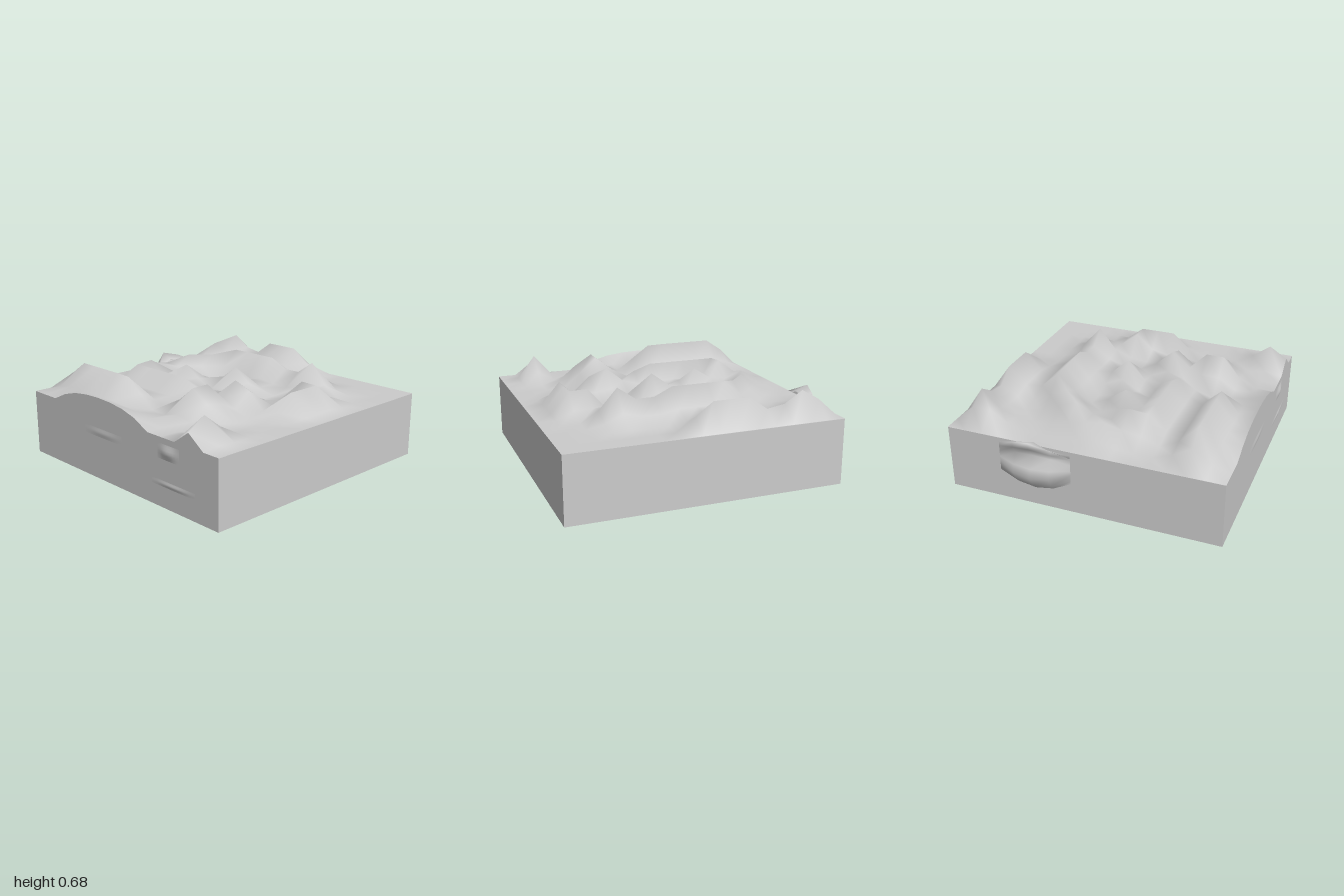
import * as THREE from 'three';

const X0 = -0.91, X1 = 1, Z0 = -0.97, Z1 = 0.945, TOP = 0.46, CELLS = 15;
const material = new THREE.MeshStandardMaterial({ color: 0xcccccc, side: THREE.DoubleSide });

// Ridges: start x, z, end x, z, crest height above the slab, sideways foot radius
const ridges = [
  [-0.66, -0.84, -0.66, -0.84, 0.19, 0.3],
  [-0.78, -0.71, -0.78, -0.71, 0.12, 0.25],
  [-0.27, -0.84, -0.02, -0.84, 0.18, 0.25],
  [-0.27, -0.46, 0.11, -0.46, 0.19, 0.22],
  [0.11, -0.46, 0.49, -0.46, 0.13, 0.2],
  [0.49, -0.46, 0.49, -0.46, 0.22, 0.2],
  [-0.27, -0.46, -0.53, -0.2, 0.15, 0.2],
  [-0.53, -0.2, -0.66, 0.05, 0.11, 0.2],
  [0.11, -0.08, 0.11, -0.08, 0.19, 0.25],
  [-0.27, 0.05, -0.27, 0.05, 0.16, 0.25],
  [0.62, -0.2, 0.74, -0.2, 0.16, 0.14],
  [0.74, -0.2, 0.74, 0.05, 0.16, 0.14],
  [-0.53, 0.18, -0.53, 0.18, 0.17, 0.22],
  [-0.53, 0.31, 0.05, 0.31, 0.16, 0.2],
  [0.36, 0.18, 0.36, 0.18, 0.19, 0.22],
  [0.36, 0.18, 0.49, 0.18, 0.14, 0.16],
  [0.36, 0.56, 0.36, 0.43, 0.21, 0.25],
  [0.36, 0.56, 0.49, 0.56, 0.13, 0.16],
  [-0.66, 0.69, -0.15, 0.69, 0.21, 0.3],
  [0.74, 0.81, 0.74, 0.81, 0.18, 0.14]
];
const FRONT_RADIUS = 0.18, BACK_RADIUS = 0.2;

// Skyline along the front edge: a long mound and a small tooth
function edgeHeight(x) {
  const mound = 0.112 * Math.sqrt(Math.max(0, 1 - ((x + 0.14) / 0.45) ** 2));
  const tooth = 0.09 * (1 - Math.abs(x - 0.745) / 0.12);
  return Math.max(0, mound, tooth);
}

// Height of the land: the tallest ridge slope at a point, level at the borders
function landHeight(x, z) {
  let best = 0;
  for (const [ax, az, bx, bz, h, r] of ridges) {
    const dx = bx - ax, dz = bz - az, len = dx * dx + dz * dz;
    const t = len ? THREE.MathUtils.clamp(((x - ax) * dx + (z - az) * dz) / len, 0, 1) : 0;
    const offX = x - ax - t * dx, offZ = z - az - t * dz;
    best = Math.max(best, h * (1 - Math.hypot(offX / r, offZ / (offZ < 0 ? BACK_RADIUS : FRONT_RADIUS))));
  }
  const fade = Math.min(1, (X1 - x) / 0.12, (x - X0) / 0.12, (z - Z0) / 0.12, (Z1 - z) / 0.12);
  return Math.max(best * fade, edgeHeight(x) * (1 - (Z1 - z) / 0.25));
}

// Grid surface from a rule giving a point for each row and column
function sheet(rows, cols, point) {
  const pos = [], index = [];
  for (let i = 0; i <= rows; i++)
    for (let j = 0; j <= cols; j++) {
      pos.push(...point(i, j));
      if (i < rows && j < cols) {
        const a = i * (cols + 1) + j, b = a + cols + 1;
        index.push(a, b, a + 1, b, b + 1, a + 1);
      }
    }
  const g = new THREE.BufferGeometry();
  g.setAttribute('position', new THREE.Float32BufferAttribute(pos, 3));
  g.setIndex(index);
  g.computeVertexNormals();
  return g;
}

export function createModel() {
  const group = new THREE.Group();
  const add = (name, geometry) => {
    const mesh = new THREE.Mesh(geometry, material);
    mesh.name = name;
    group.add(mesh);
    return mesh;
  };
  const gx = j => X0 + (X1 - X0) * j / CELLS;
  const gz = i => Z0 + (Z1 - Z0) * i / CELLS;

  // Solid slab under the land
  const slabHeight = TOP - 0.002;
  add('slab', new THREE.BoxGeometry(X1 - X0, slabHeight, Z1 - Z0))
    .position.set((X0 + X1) / 2, slabHeight / 2, (Z0 + Z1) / 2);

  // Hilly surface
  add('terrain', sheet(CELLS, CELLS, (i, j) =>
    [gx(j), TOP + landHeight(gx(j), gz(i)), gz(i)]));

  // Cut face closing the hills along the front edge
  add('frontCut', sheet(1, CELLS, (i, j) =>
    [gx(j), i ? slabHeight : TOP + edgeHeight(gx(j)), Z1]));

  // Two-lobed outcrop on the -x wall: outward share and height
  const lobes = [[0, 0.48], [1, 0.52], [0.75, 0.46], [0.2, 0.39],
    [0.75, 0.31], [1, 0.25], [0.45, 0.17], [0, 0.13]];
  const swell = [0, 0.75, 1, 0.75, 0];
  const lipSwell = [0, 0.65, 1, 0.25, 0];
  add('sideOutcrop', sheet(lobes.length - 1, swell.length - 1, (i, j) => {
    const [out, y] = lobes[i], s = i < 3 ? lipSwell[j] : swell[j];
    return [X0 - 0.09 * out * s, 0.32 + (y - 0.32) * (0.55 + 0.45 * s), -0.59 + 0.1275 * j];
  }));

  // Faint swellings on the front wall: centre x, y, half width, half height, depth
  for (const [cx, cy, w, h, depth] of [[0.56, 0.37, 0.1, 0.05, 0.014],
    [0.6, 0.16, 0.2, 0.02, 0.005], [-0.1, 0.33, 0.2, 0.03, 0.004]]) {
    add('frontSwelling', sheet(6, 8, (i, j) => {
      const a = j / 4 - 1, b = 1 - i / 3;
      return [cx + a * w, cy + b * h, Z1 + depth * ((1 - a * a) * (1 - b * b)) ** 2];
    }));
  }
  return group;
}
